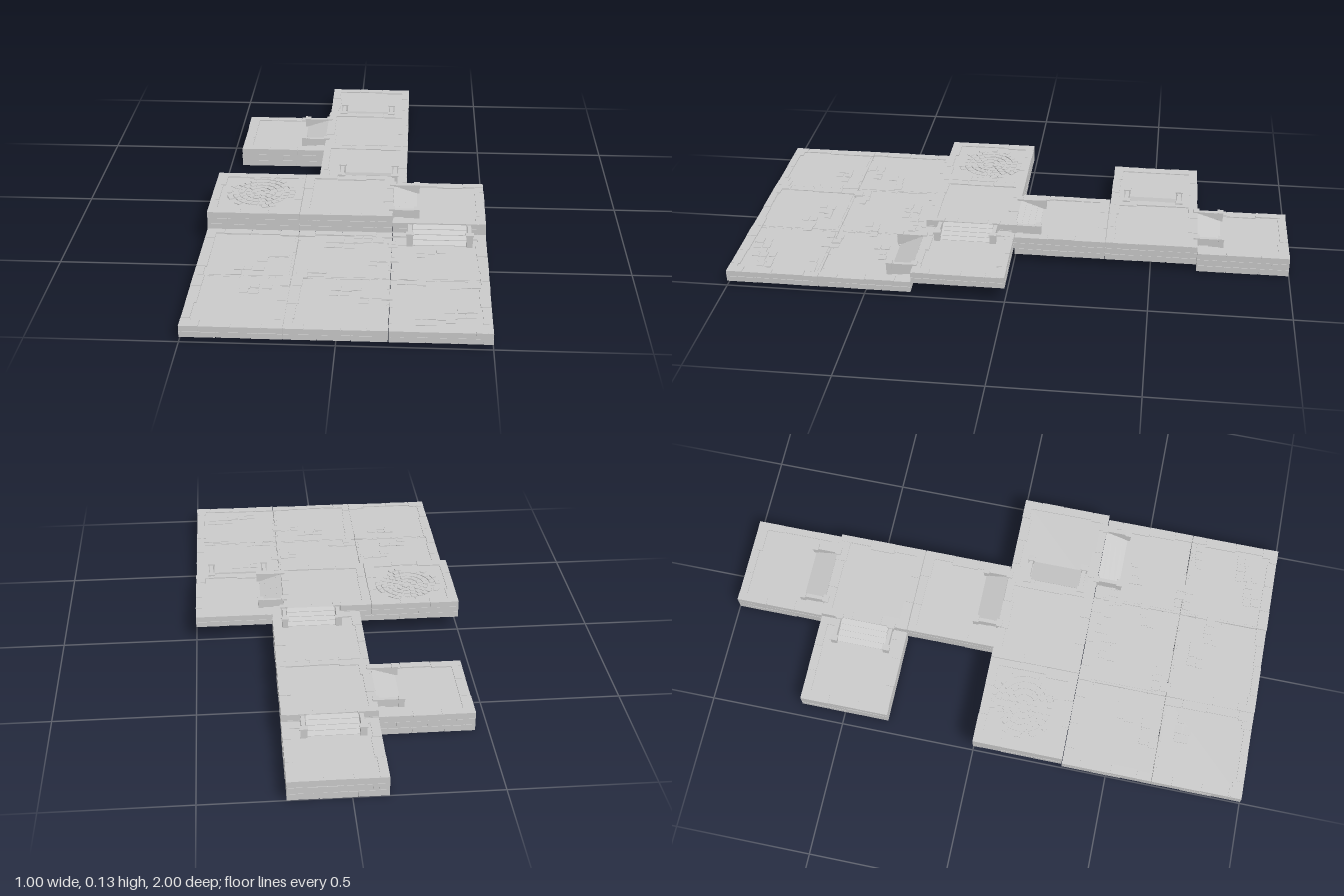
import * as THREE from 'three';
import { mergeGeometries } from 'three/addons/utils/BufferGeometryUtils.js';

const S = 1 / 3;          // tile size
const RIM = 0.034;        // width of the brick edge
const LIP = 0.005;        // brick edge height above the floor

let seed = 7;
const rnd = () => {
  seed = (seed * 16807) % 2147483647;
  return seed / 2147483647;
};
const vary = (a) => (rnd() - 0.5) * 2 * a;

const material = new THREE.MeshStandardMaterial({ color: 0xcccccc, flatShading: true, side: THREE.DoubleSide });

// Box given by its lower and upper corner
function block(x0, x1, y0, y1, z0, z1) {
  return new THREE.BoxGeometry(x1 - x0, y1 - y0, z1 - z0)
    .translate((x0 + x1) / 2, (y0 + y1) / 2, (z0 + z1) / 2);
}

function mesh(name, geometries) {
  const m = new THREE.Mesh(mergeGeometries(geometries.map((g) => g.toNonIndexed())), material);
  m.name = name;
  return m;
}

// One brick wall along the +z edge of a tile, standing from 0 to height
function brickWall(height, raised) {
  const parts = [];
  const top = raised ? height : height - LIP;
  const rows = Math.max(2, Math.round(height / 0.022));
  const h = top / rows;
  const half = S / 2;
  parts.push(block(-half + 0.003, half - 0.003, 0.001, top - 0.003, half - RIM + 0.006, half - 0.003));
  for (let r = 0; r < rows; r++) {
    const cuts = r % 2 ? [0, 0.2, 0.52, 0.82, 1] : [0, 0.34, 0.67, 1];
    const at = cuts.map((c, i) => -half + S * (c + (i && c < 1 ? vary(0.03) : 0)));
    for (let i = 0; i + 1 < at.length; i++) {
      const depth = RIM + (r === rows - 1 ? vary(0.007) : 0);
      const yTop = (r + 1) * h - (r === rows - 1 ? rnd() * 0.0015 : 0.0012);
      parts.push(block(at[i] + 0.001, at[i + 1] - 0.001, r * h, yTop, half - depth, half - rnd() * 0.0018));
    }
  }
  return parts;
}

// Hollow tile: thin floor and four brick walls; raised = [front, left, back, right]
function tile(name, x, z, bottom, top, raised = [1, 1, 1, 1]) {
  const g = new THREE.Group();
  g.name = name;
  const h = top - bottom;
  const walls = [];
  raised.forEach((up, i) => {
    for (const b of brickWall(h, up)) walls.push(b.rotateY(i * Math.PI / 2));
  });
  const f = S / 2 - 0.01;
  g.add(mesh('brickWalls', walls));
  g.add(mesh('floor', [block(-f, f, h - LIP - 0.007, h - LIP + 0.0003, -f, f)]));
  g.position.set(x, bottom, z);
  return g;
}

// Worn steps between two parapets, descending along +z from z = 0
function stairs(name, x, z, turn, low, high, width = 0.17) {
  const g = new THREE.Group();
  g.name = name;
  const run = 0.085, steps = 4, drop = high - low;
  const shape = new THREE.Shape();
  shape.moveTo(0, -LIP);
  shape.lineTo(0, drop);
  for (let i = 1; i <= steps; i++) {
    const y = drop * (1 - i / steps);
    shape.lineTo(run * i / steps, y + drop * 0.06);
    shape.lineTo(run * i / steps, y);
  }
  shape.lineTo(run, -LIP);
  const flight = new THREE.ExtrudeGeometry(shape, { depth: width, bevelEnabled: false })
    .rotateY(-Math.PI / 2).translate(width / 2, 0, 0);
  g.add(mesh('steps', [flight]));
  // parapets with thicker end posts and small caps
  const rails = [];
  for (const s of [-1, 1]) {
    const c = s * (width / 2 + 0.01);
    rails.push(block(c - 0.007, c + 0.007, -LIP, drop + 0.003, -0.005, run));
    for (const p of [-0.004, run]) {
      rails.push(block(c - 0.011, c + 0.011, -LIP, drop + 0.004, p - 0.01, p + 0.01));
      rails.push(block(c - 0.014, c + 0.014, drop + 0.003, drop + 0.008, p - 0.011, p + 0.011));
    }
  }
  g.add(mesh('parapets', rails));
  g.position.set(x, low, z);
  g.rotation.y = turn;
  return g;
}

// Round paving of small wedge-like stones
function rosette(x, y, z) {
  const stones = [];
  [[0.022, 6], [0.046, 12], [0.07, 18], [0.095, 24], [0.117, 28]].forEach(([r, n], ring) => {
    for (let i = 0; i < n; i++) {
      if (ring === 4 && rnd() < 0.45) continue;
      const a = (i + 0.5 * (ring % 2)) / n * Math.PI * 2;
      const len = 2 * Math.PI * r / n - 0.004;
      stones.push(new THREE.BoxGeometry(0.018, 0.006, len)
        .translate(r, vary(0.0012), 0).rotateY(a).translate(x, y, z));
    }
  });
  return mesh('roundPaving', stones);
}

// Loose clusters of flat paving slabs on the plaza
function plazaSlabs(y) {
  const clusters = [
    [-0.24, 0.53, 4], [-0.28, 0.75, 5], [-0.02, 0.42, 6], [0.08, 0.38, 6], [0.14, 0.55, 4],
    [0.02, 0.75, 5], [0.3, 0.48, 4], [0.24, 0.67, 6], [0.4, 0.88, 7], [0.3, 0.92, 5],
    [-0.1, 0.64, 4], [0.42, 0.72, 3], [-0.32, 0.63, 4], [0.2, 0.42, 4], [0.12, 0.8, 4],
  ];
  const slabs = [];
  for (const [cx, cz, n] of clusters) {
    for (let i = 0; i < n; i++) {
      const x = cx + (i % 3 - 1) * 0.034 + vary(0.005);
      const z = cz + (Math.floor(i / 3) - 0.5) * 0.03 + vary(0.005);
      const w = 0.014 + rnd() * 0.005, d = 0.011 + rnd() * 0.005;
      slabs.push(block(x - w, x + w, y - 0.003, y + 0.002 + rnd() * 0.002, z - d, z + d));
    }
  }
  return mesh('plazaSlabs', slabs);
}

export function createModel() {
  const model = new THREE.Group();
  model.name = 'dungeonFloor';
  const mid = S / 2;

  // low plaza, three by two tiles with raised bricks on its outer edges
  for (let i = -1; i <= 1; i++) {
    for (let j = 0; j < 2; j++) {
      model.add(tile('plazaTile', i * S, mid + S * (1 + j), 0.02, 0.061,
        [j === 1, i === 1 || (i === -1 && j === 1), j === 0, i === -1 || (i === 0 && j === 1)]));
    }
  }
  model.add(plazaSlabs(0.056));

  // raised row behind the plaza
  model.add(tile('rosetteTile', -S, mid, 0.057, 0.126));
  model.add(rosette(-S + 0.01, 0.121, mid - 0.01));
  model.add(tile('hallTile', 0, mid, 0.057, 0.126));
  model.add(tile('landingTile', S, mid, 0.058, 0.1));

  // corridor with side room and end room
  const cx = 0.046;
  model.add(tile('corridorTile', cx, -mid, 0.03, 0.101));
  model.add(tile('corridorTile', cx, -mid - S, 0.03, 0.101));
  model.add(tile('sideRoomTile', cx - S, -mid - S, 0.002, 0.075));
  model.add(tile('endRoomTile', cx, -mid - 2 * S, 0.002, 0.075));

  // stairs between the levels
  model.add(stairs('landingStairs', S, S, 0, 0.056, 0.096, 0.19));
  model.add(stairs('hallStairs', S / 2, 0.175, Math.PI / 2, 0.095, 0.123, 0.185));
  model.add(stairs('corridorStairs', 0.067, 0, Math.PI, 0.096, 0.126, 0.18));
  model.add(stairs('endRoomStairs', 0.04, -2 * S, Math.PI, 0.07, 0.098, 0.18));
  model.add(stairs('sideRoomStairs', cx - S / 2, -0.495, -Math.PI / 2, 0.07, 0.098, 0.18));

  // rest on the ground
  const box = new THREE.Box3().setFromObject(model);
  for (const part of model.children) part.position.y -= box.min.y;
  return model;
}
